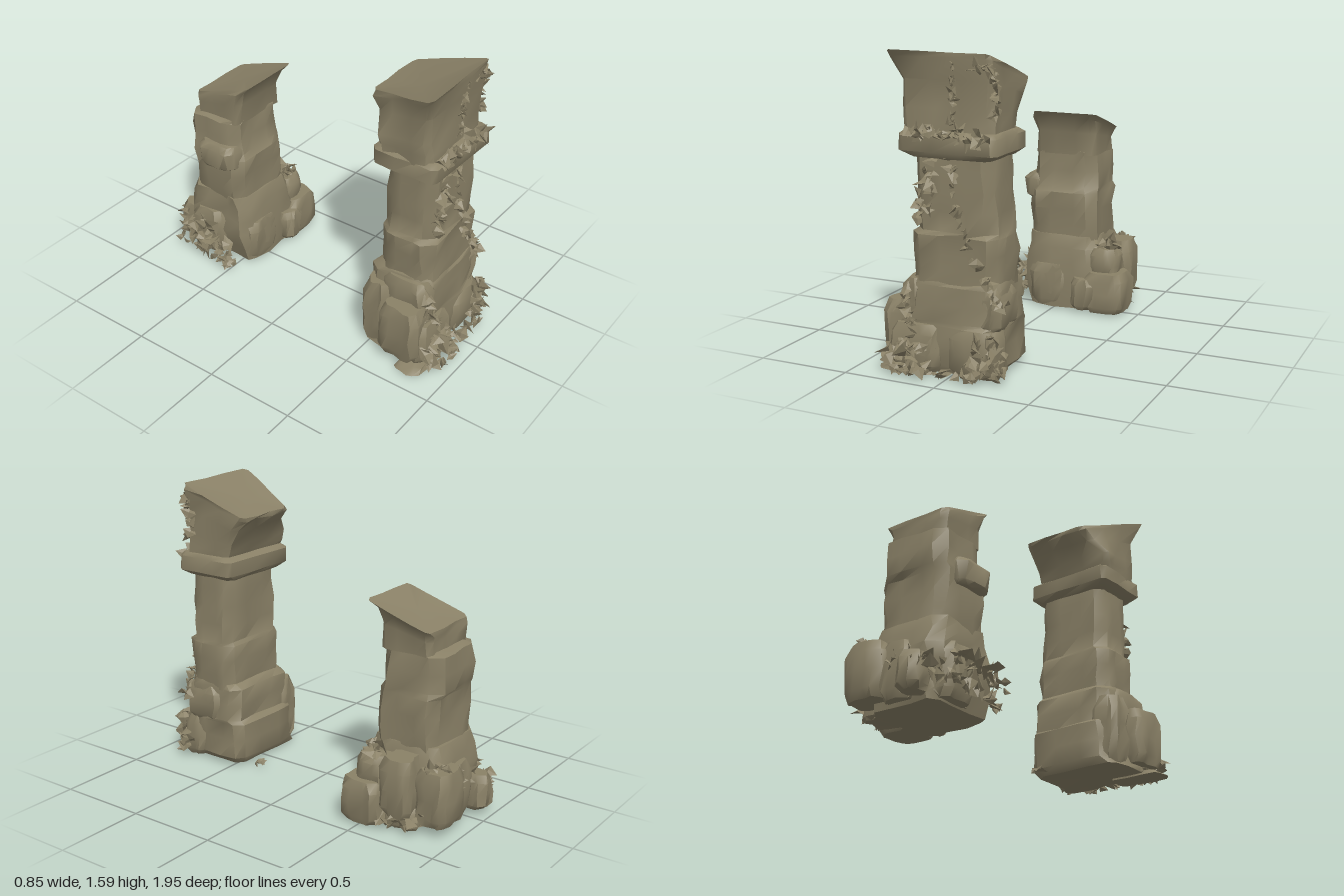
import * as THREE from 'three';
import { mergeGeometries, toCreasedNormals } from 'three/addons/utils/BufferGeometryUtils.js';

const stone = new THREE.MeshStandardMaterial({ color: 0x8a8167, side: THREE.DoubleSide });
stone.name = 'weathered olive stone';

function seeded(seed) {
  let s = seed * 7919 + 17;
  return () => {
    s = (s * 1664525 + 1013904223) % 4294967296;
    return s / 4294967296;
  };
}

// Rough masonry lofted through rings [y, x0, x1, z0, z1, slope along z, inset of back left corner]
function masonry(name, rings, seed, rough = 0.01, cut = 0.025, dish = 0) {
  const rnd = seeded(seed);
  const full = [];
  rings.forEach((r, i) => {
    if (i > 0) {
      const p = rings[i - 1];
      const steps = Math.ceil((r[0] - p[0]) / 0.12);
      for (let k = 1; k < steps; k++) {
        full.push([0, 1, 2, 3, 4, 5, 6].map((n) => THREE.MathUtils.lerp(p[n] || 0, r[n] || 0, k / steps)));
      }
    }
    full.push(r);
  });
  const pos = [], idx = [], N = 16;
  for (const [y, x0, x1, z0, z1, slope = 0, inset = 0] of full) {
    const corners = [[x0, z1], [x1, z1], [x1, z0], [x0 + inset, z0]];
    for (let s = 0; s < 4; s++) {
      const [ax, az] = corners[s], [bx, bz] = corners[(s + 1) % 4];
      const len = Math.hypot(bx - ax, bz - az);
      for (const t of [cut / len, 0.36, 0.67, 1 - cut / len]) {
        const z = az + (bz - az) * t + (rnd() - 0.5) * 2 * rough;
        pos.push(ax + (bx - ax) * t + (rnd() - 0.5) * 2 * rough, y + slope * (z - (z0 + z1) / 2), z);
      }
    }
  }
  const last = full.length - 1;
  for (let i = 0; i < last; i++) {
    for (let j = 0; j < N; j++) {
      const a = i * N + j, b = i * N + (j + 1) % N;
      idx.push(a, b, b + N, a, b + N, a + N);
    }
  }
  // Closed ends, the top one hollowed by the dish
  const c = pos.length / 3;
  const low = full[0], top = full[last];
  pos.push((low[1] + low[2]) / 2, low[0], (low[3] + low[4]) / 2);
  pos.push((top[1] + top[2]) / 2, top[0] - dish, (top[3] + top[4]) / 2);
  for (let j = 0; j < N; j++) {
    const k = (j + 1) % N;
    idx.push(k, j, c, last * N + j, last * N + k, c + 1);
  }
  const geo = new THREE.BufferGeometry();
  geo.setAttribute('position', new THREE.Float32BufferAttribute(pos, 3));
  geo.setIndex(idx);
  const mesh = new THREE.Mesh(toCreasedNormals(geo, 0.8), stone);
  mesh.name = name;
  return mesh;
}

// Broken boulder from its extents, narrowed towards both ends
function block(name, x0, x1, y0, y1, z0, z1, seed) {
  const m = 0.02, h = y1 - y0;
  return masonry(name, [[y0, x0 + m, x1 - m, z0 + m, z1 - m], [y0 + h * 0.15, x0, x1, z0, z1],
    [y1 - h * 0.2, x0, x1, z0, z1], [y1, x0 + m, x1 - m, z0 + m, z1 - m]], seed, 0.011, 0.03);
}

// Bent, pointed stone flakes scattered along a path
function chips(name, path, count, spread, size, seed) {
  const rnd = seeded(seed), parts = [];
  const curve = new THREE.CatmullRomCurve3(path.map((p) => new THREE.Vector3(...p)));
  for (let i = 0; i < count; i++) {
    const p = curve.getPoint((i + rnd()) / count);
    const s = size * (0.6 + rnd() * 0.8);
    const g = new THREE.OctahedronGeometry(s);
    g.scale(1, 0.55 + rnd() * 0.3, 0.22);
    const v = g.attributes.position;
    for (let n = 0; n < v.count; n++) v.setZ(n, v.getZ(n) + Math.abs(v.getX(n)) * 0.45);
    g.rotateX(rnd() * 6.28).rotateY(rnd() * 6.28).rotateZ(rnd() * 6.28);
    p.x += (rnd() - 0.5) * 2 * spread[0];
    p.y = p.y + (rnd() - 0.5) * 2 * spread[1];
    p.z += (rnd() - 0.5) * 2 * spread[2];
    g.computeBoundingBox();
    g.translate(p.x, Math.max(p.y, 0.005 - g.boundingBox.min.y), p.z);
    g.computeVertexNormals();
    parts.push(g);
  }
  const mesh = new THREE.Mesh(mergeGeometries(parts), stone);
  mesh.name = name;
  return mesh;
}

function tallPillar() {
  const g = new THREE.Group();
  g.name = 'tallPillar';
  g.add(
    // Base, shaft, collar and flared broken capital
    masonry('tallBase', [[0.01, -0.3, 0.21, 0.45, 0.81], [0.05, -0.32, 0.24, 0.43, 0.83, 0, 0.06],
      [0.25, -0.33, 0.24, 0.43, 0.83, 0, 0.08], [0.27, -0.3, 0.24, 0.46, 0.82, 0, 0.05],
      [0.45, -0.25, 0.24, 0.46, 0.81], [0.48, -0.23, 0.23, 0.5, 0.8]], 3, 0.011, 0.05),
    masonry('tallShaft', [[0.44, -0.23, 0.235, 0.5, 0.81], [0.7, -0.23, 0.235, 0.5, 0.81],
      [0.72, -0.21, 0.22, 0.51, 0.8], [1.12, -0.21, 0.21, 0.51, 0.8]], 5, 0.01, 0.05),
    masonry('tallCollar', [[1.08, -0.22, 0.21, 0.5, 0.81], [1.11, -0.27, 0.25, 0.47, 0.84],
      [1.19, -0.27, 0.25, 0.47, 0.84], [1.21, -0.25, 0.23, 0.5, 0.82]], 7, 0.006),
    masonry('tallCapital', [[1.18, -0.26, 0.22, 0.52, 0.8], [1.3, -0.27, 0.22, 0.49, 0.79, 0.12],
      [1.41, -0.28, 0.22, 0.44, 0.8, 0.25, 0.08], [1.49, -0.33, 0.22, 0.4, 0.82, 0.34, 0.16],
      [1.515, -0.34, 0.22, 0.39, 0.83, 0.34, 0.18]], 9, 0.009, 0.025, 0.03),
    // Fallen blocks around the base
    block('leftBaseBlock', -0.38, -0.2, 0.04, 0.35, 0.6, 0.83, 11),
    block('backLeftBaseBlock', -0.31, -0.14, 0.02, 0.4, 0.45, 0.62, 12),
    block('frontLeftBaseBlock', -0.33, -0.06, 0.01, 0.25, 0.7, 0.86, 13),
    block('frontRightBaseBlock', 0, 0.26, 0.01, 0.25, 0.7, 0.86, 14),
    block('leftUpperBlock', -0.28, -0.16, 0.26, 0.47, 0.56, 0.82, 15),
    block('rightUpperBlock', 0.14, 0.255, 0.24, 0.45, 0.58, 0.82, 16),
    masonry('groundSlab', [[0, -0.4, -0.1, 0.72, 0.87], [0.025, -0.36, -0.1, 0.73, 0.86]], 17),
    // Flakes along cracks and on the ground
    chips('frontRubbleLeft', [[-0.33, 0.08, 0.87], [-0.22, 0.11, 0.89], [-0.11, 0.08, 0.88]], 34, [0.03, 0.08, 0.04], 0.045, 21),
    chips('frontRubbleRight', [[0.13, 0.09, 0.87], [0.22, 0.14, 0.86], [0.27, 0.12, 0.81]], 38, [0.025, 0.1, 0.03], 0.045, 22),
    chips('frontRubbleLow', [[-0.3, 0.03, 0.91], [-0.2, 0.03, 0.93], [0, 0.03, 0.89], [0.2, 0.03, 0.91]], 18, [0.03, 0.01, 0.02], 0.04, 23),
    chips('baseFlakes', [[-0.26, 0.42, 0.82], [-0.23, 0.3, 0.84], [-0.19, 0.2, 0.86]], 14, [0.02, 0.03, 0.01], 0.04, 24),
    chips('rightCrack', [[0, 1.1, 0.8], [0.02, 0.88, 0.805], [0.1, 0.65, 0.81], [0.2, 0.48, 0.81], [0.28, 0.38, 0.8]], 36, [0.015, 0.02, 0.01], 0.036, 25),
    chips('leftCrack', [[-0.1, 1.07, 0.8], [-0.13, 0.92, 0.805], [-0.17, 0.78, 0.81]], 20, [0.04, 0.03, 0.01], 0.042, 26),
    chips('collarFlakes', [[-0.22, 1.19, 0.84], [-0.02, 1.21, 0.84], [0.21, 1.18, 0.83]], 34, [0.02, 0.03, 0.012], 0.038, 27),
    chips('capitalCrack', [[0, 1.24, 0.8], [0.02, 1.4, 0.795], [0.02, 1.54, 0.81]], 20, [0.015, 0.02, 0.008], 0.03, 28),
    chips('capitalCorner', [[0.1, 1.53, 0.8], [0.2, 1.51, 0.79], [0.22, 1.4, 0.77], [0.22, 1.26, 0.78]], 24, [0.012, 0.02, 0.015], 0.04, 29),
    chips('backFlakes', [[0.13, 0.02, 0.37], [0.18, 0.025, 0.37]], 4, [0.02, 0, 0.01], 0.04, 30)
  );
  return g;
}

function shortPillar() {
  const g = new THREE.Group();
  g.name = 'shortPillar';
  g.add(
    // Base, shaft and sloping broken top
    masonry('shortBase', [[0.01, -0.15, 0.25, -0.84, -0.42], [0.2, -0.18, 0.27, -0.88, -0.42],
      [0.36, -0.18, 0.25, -0.86, -0.44], [0.43, -0.17, 0.23, -0.83, -0.47]], 41, 0.015, 0.05),
    masonry('shortShaft', [[0.38, -0.17, 0.23, -0.83, -0.47], [0.68, -0.18, 0.23, -0.83, -0.47],
      [0.71, -0.17, 0.22, -0.84, -0.49], [0.9, -0.16, 0.22, -0.84, -0.5],
      [0.92, -0.13, 0.21, -0.79, -0.5]], 43, 0.012, 0.05),
    masonry('shortTop', [[0.9, -0.14, 0.22, -0.79, -0.5], [1.0, -0.14, 0.22, -0.79, -0.49, 0.2],
      [1.06, -0.15, 0.23, -0.79, -0.46, 0.33], [1.09, -0.14, 0.25, -0.79, -0.425, 0.33]], 45, 0.008, 0.025, 0.015),
    block('shaftLeftBlock', -0.22, -0.08, 0.62, 0.77, -0.74, -0.5, 46),
    // Boulders packed around the base
    block('rightFrontBlock', 0.2, 0.43, 0.01, 0.24, -0.61, -0.38, 51),
    block('rightFrontUpperBlock', 0.2, 0.37, 0.18, 0.37, -0.62, -0.44, 52),
    block('rightMiddleBlock', 0.2, 0.4, 0.08, 0.39, -0.78, -0.6, 53),
    block('rightLowBlock', 0.2, 0.36, 0.01, 0.13, -0.8, -0.6, 54),
    block('backRightBlock', 0.1, 0.33, 0.05, 0.34, -0.96, -0.77, 55),
    block('backLeftBlock', -0.15, -0.02, 0.03, 0.22, -0.98, -0.82, 56),
    block('backMiddleBlock', -0.04, 0.14, 0.03, 0.32, -0.91, -0.78, 57),
    block('leftBlock', -0.22, -0.1, 0.02, 0.3, -0.82, -0.6, 58),
    block('frontBlock', 0.12, 0.26, 0.02, 0.2, -0.5, -0.36, 59),
    block('frontLeftBlock', -0.15, 0.08, 0.01, 0.26, -0.54, -0.41, 60),
    // Flakes heaped on the left and back
    chips('leftRubble', [[-0.27, 0.07, -0.5], [-0.28, 0.12, -0.58], [-0.24, 0.16, -0.7], [-0.27, 0.1, -0.82]], 42, [0.04, 0.1, 0.04], 0.046, 61),
    chips('backRubble', [[-0.25, 0.1, -0.86], [-0.12, 0.18, -0.92], [0.02, 0.2, -0.88], [0.18, 0.3, -0.91]], 30, [0.04, 0.07, 0.02], 0.042, 62),
    chips('rightRubble', [[0.36, 0.05, -0.62], [0.37, 0.07, -0.7], [0.34, 0.08, -0.8]], 14, [0.015, 0.03, 0.03], 0.04, 63),
    chips('rightUpperFlakes', [[0.29, 0.38, -0.48], [0.31, 0.39, -0.56]], 14, [0.04, 0.03, 0.03], 0.042, 64),
    chips('backUpperFlakes', [[0.25, 0.35, -0.84], [0.24, 0.34, -0.93]], 8, [0.05, 0.015, 0.015], 0.042, 65)
  );
  return g;
}

export function createModel() {
  const model = new THREE.Group();
  model.name = 'ruinedPillars';
  model.add(tallPillar(), shortPillar());
  return model;
}
